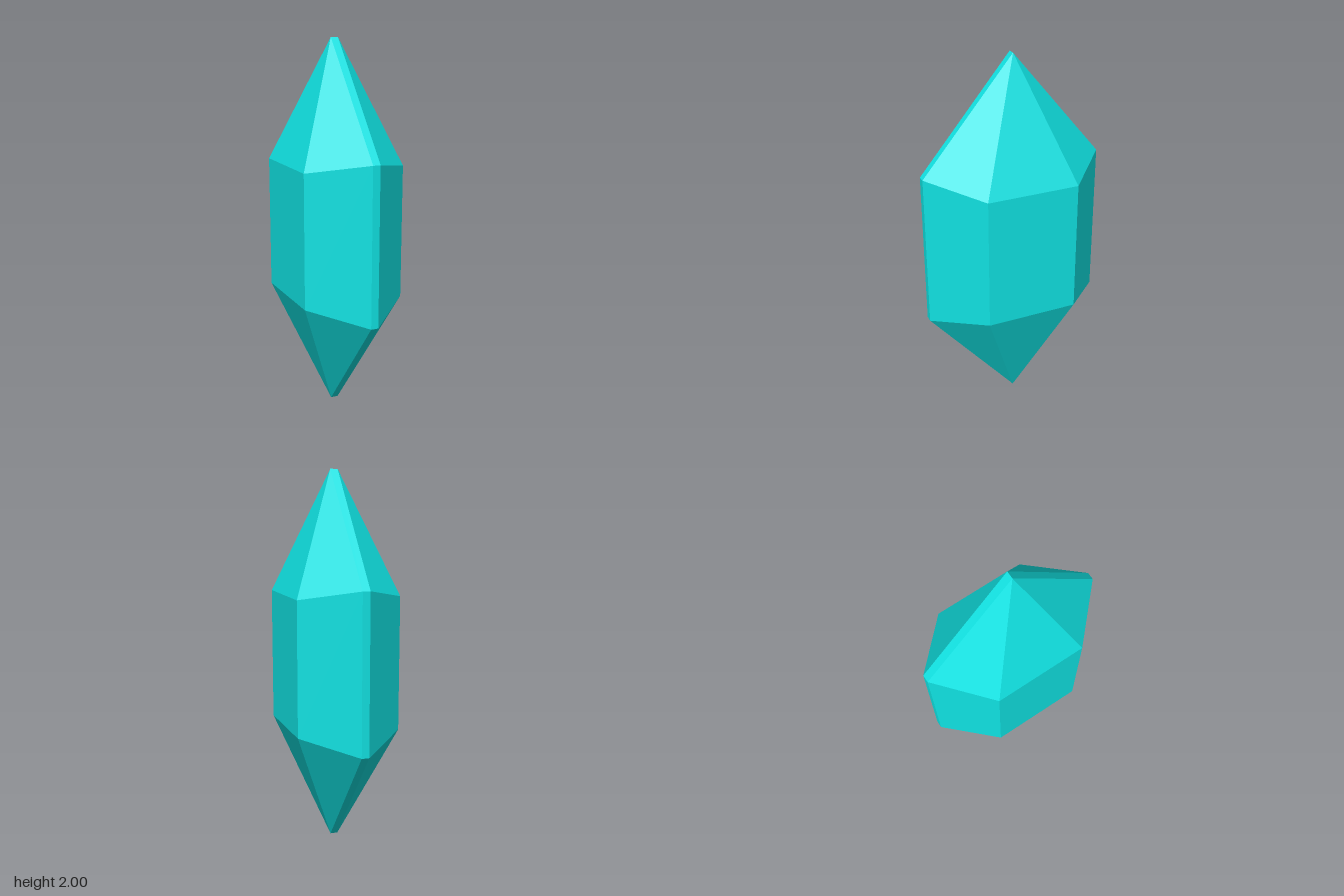
import * as THREE from 'three';

// Eight-sided crystal outline, counterclockwise from above: narrow bevels front and back, broad sides
const TIP = 0.02, DEPTH = 0.49, SIDE = 0.277, SIDE_Z = 0.247;
const OUTLINE = [
  [-TIP, DEPTH], [TIP, DEPTH], [SIDE, SIDE_Z], [SIDE, -SIDE_Z],
  [TIP, -DEPTH], [-TIP, -DEPTH], [-SIDE, -SIDE_Z], [-SIDE, SIDE_Z],
];

// Girdle ring: the side corners sit closer to the middle than the front and back ones
function girdle(sign) {
  return OUTLINE.map(([x, z]) =>
    new THREE.Vector3(x, 1 + sign * (Math.abs(x) > TIP ? 0.355 : 0.415), z));
}

// Point ring: the outline collapsed to a short ridge along x
function ridge(y) {
  return OUTLINE.map(([x]) => new THREE.Vector3(Math.sign(x) * TIP, y, 0));
}

// Flat facets between two rings, leaving out collapsed triangles
function facets(lower, upper) {
  const positions = [];
  const addTriangle = (a, b, c) => {
    if (new THREE.Triangle(a, b, c).getArea() > 1e-6) {
      for (const p of [a, b, c]) positions.push(p.x, p.y, p.z);
    }
  };
  lower.forEach((a, i) => {
    const j = (i + 1) % lower.length;
    addTriangle(a, lower[j], upper[j]);
    addTriangle(a, upper[j], upper[i]);
  });
  const geometry = new THREE.BufferGeometry();
  geometry.setAttribute('position', new THREE.Float32BufferAttribute(positions, 3));
  geometry.computeVertexNormals();
  return geometry;
}

export function createModel() {
  const group = new THREE.Group();
  group.name = 'crystal';
  const material = new THREE.MeshStandardMaterial({ color: 0x10e2e2 });
  material.name = 'turquoise';
  material.flatShading = true;

  const addPart = (name, lower, upper) => {
    const mesh = new THREE.Mesh(facets(lower, upper), material);
    mesh.name = name;
    group.add(mesh);
  };
  addPart('lowerPoint', ridge(0), girdle(-1));
  addPart('body', girdle(-1), girdle(1));
  addPart('upperPoint', girdle(1), ridge(2));
  return group;
}
